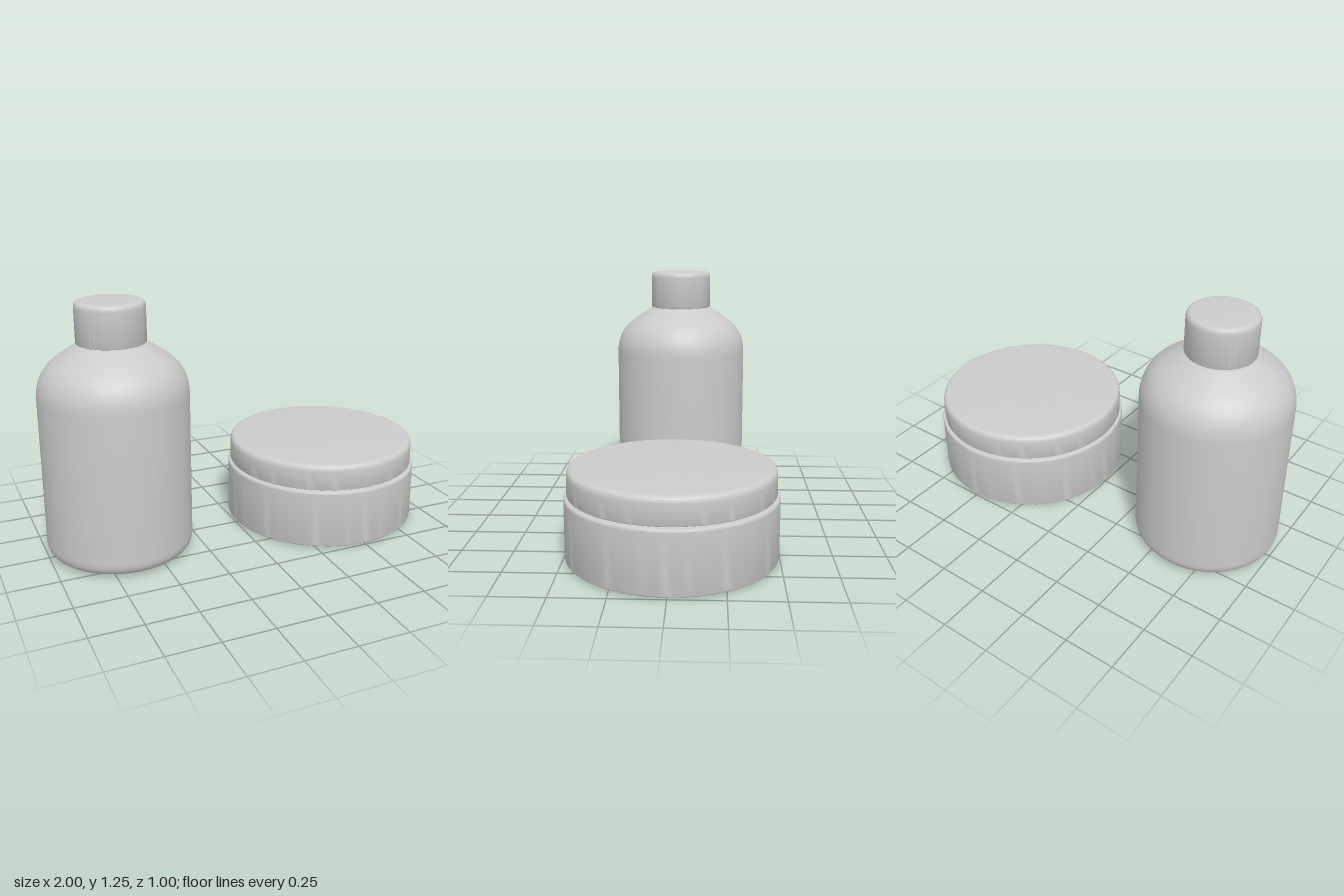
import * as THREE from 'three';
import { toCreasedNormals } from 'three/addons/utils/BufferGeometryUtils.js';

const material = new THREE.MeshStandardMaterial({ color: 0xcccccc });

// Turned part from profile corners [radius, height, rounding], listed bottom to top
function turned(name, corners, x) {
  const v = corners.map(([r, y]) => new THREE.Vector2(r, y));
  const points = [];
  corners.forEach(([, , round = 0], i) => {
    if (!round) return points.push(v[i]);
    const toward = (p) => v[i].clone().add(p.clone().sub(v[i]).setLength(round));
    const bend = new THREE.QuadraticBezierCurve(toward(v[i - 1]), v[i], toward(v[i + 1]));
    points.push(...bend.getPoints(10));
  });
  const geometry = toCreasedNormals(new THREE.LatheGeometry(points, 96), Math.PI / 6);
  const mesh = new THREE.Mesh(geometry, material);
  mesh.name = name;
  mesh.position.x = x;
  return mesh;
}

export function createModel() {
  const model = new THREE.Group();
  model.name = 'bottleAndJar';

  // Tall bottle with sloping shoulder and cap
  const bottle = new THREE.Group();
  bottle.name = 'bottle';
  bottle.add(
    turned('bottleBody', [
      [0, 0.005], [0.363, 0.005, 0.075], [0.363, 0.92, 0.12],
      [0.168, 1.052, 0.008], [0, 1.052],
    ], -0.637),
    turned('bottleNeck', [[0, 1.04], [0.15, 1.04], [0.15, 1.08], [0, 1.08]], -0.637),
    turned('bottleCap', [
      [0, 1.056], [0.167, 1.056, 0.004], [0.167, 1.255, 0.03], [0, 1.255],
    ], -0.637),
  );

  // Low round jar with a slightly narrower lid
  const jar = new THREE.Group();
  jar.name = 'jar';
  jar.add(
    turned('jarBody', [
      [0, 0], [0.3, 0.005], [0.5, 0.006, 0.01], [0.5, 0.302, 0.012], [0, 0.302],
    ], 0.5),
    turned('jarNeck', [[0, 0.29], [0.435, 0.29], [0.435, 0.32], [0, 0.32]], 0.5),
    turned('jarLid', [
      [0, 0.308], [0.486, 0.308, 0.006], [0.486, 0.437, 0.035], [0, 0.437],
    ], 0.498),
  );

  model.add(bottle, jar);
  return model;
}
